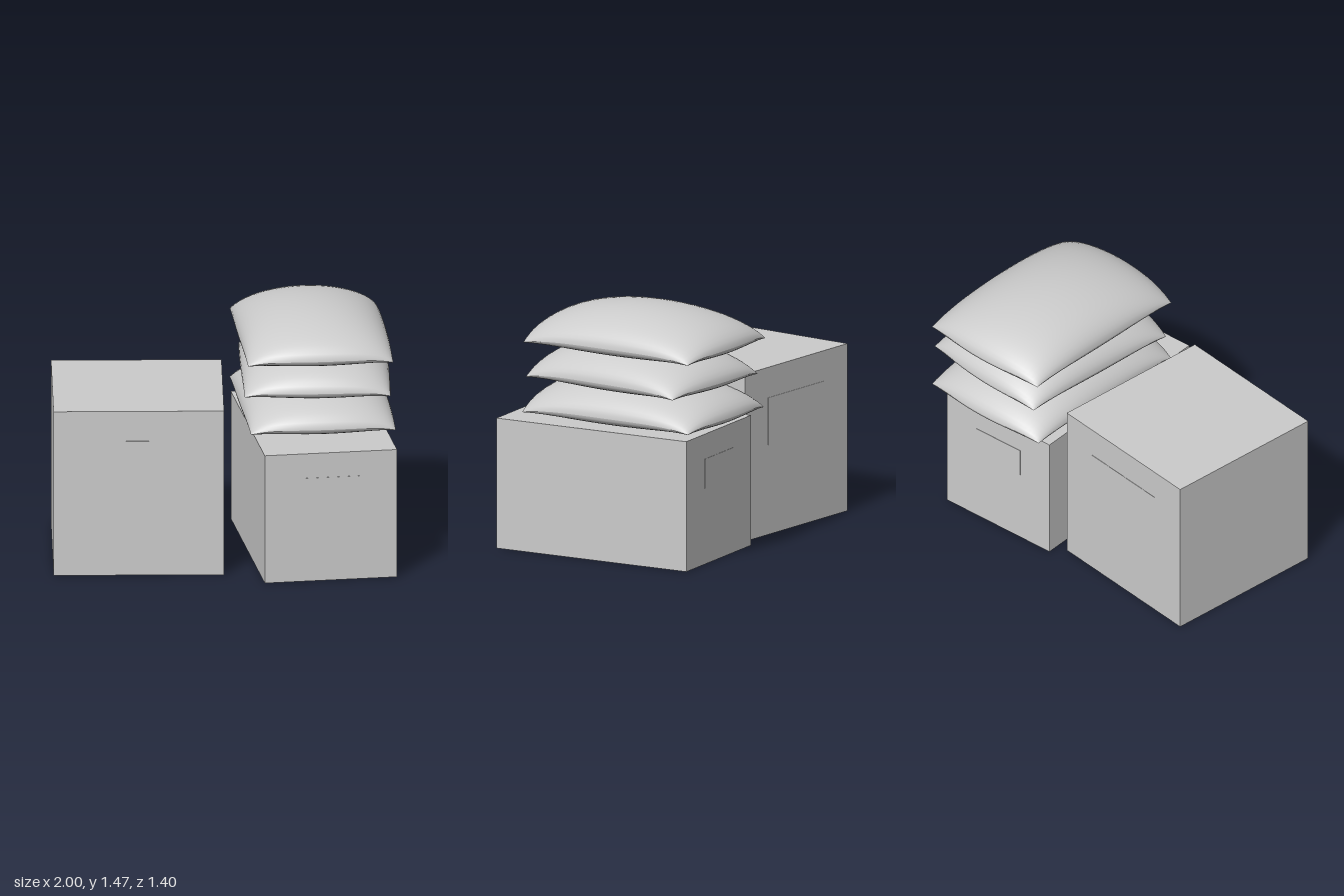
import * as THREE from 'three';
import { mergeGeometries } from 'three/addons/utils/BufferGeometryUtils.js';

const material = new THREE.MeshStandardMaterial({ color: 0xcccccc, side: THREE.DoubleSide });

// One half of a cushion: a sheet puffed up (or down) from its seam
function cushionHalf(height, power, up) {
  const geometry = new THREE.PlaneGeometry(2, 2, 28, 28);
  geometry.rotateX(up ? -Math.PI / 2 : Math.PI / 2);
  const p = geometry.attributes.position;
  for (let i = 0; i < p.count; i++) {
    // crowd the rows toward the seam, where the sheet curves most
    const u = Math.sin(p.getX(i) * Math.PI / 2);
    const v = Math.sin(p.getZ(i) * Math.PI / 2);
    const puff = Math.pow(Math.max(0, (1 - u * u) * (1 - v * v)), power);
    const cornerDrop = 0.03 * Math.pow(u * v, 4);
    p.setXYZ(i,
      u * (0.42 + 0.008 * (1 - v * v)),
      height * puff - cornerDrop,
      v * (0.56 + 0.05 * (1 - u * u)));
  }
  geometry.computeVertexNormals();
  return geometry;
}

function createBox(name, width, height, depth, label) {
  const group = new THREE.Group();
  group.name = name;
  const body = new THREE.Mesh(new THREE.BoxGeometry(width, height, depth), material);
  body.name = name + 'Body';
  body.position.y = height / 2;
  group.add(body);
  // Thin plain panels on the front and back faces
  for (const side of [1, -1]) {
    const panel = new THREE.Mesh(new THREE.BoxGeometry(label.width, label.height, 0.004), material);
    panel.name = name + (side > 0 ? 'FrontPanel' : 'BackPanel');
    panel.position.set(0, label.y, side * depth / 2);
    group.add(panel);
  }
  return group;
}

export function createModel() {
  const model = new THREE.Group();
  model.name = 'boxesAndCushions';

  // Storage boxes, turned slightly toward each other
  const large = createBox('largeBox', 0.983, 0.99, 0.988, { width: 0.54, height: 0.28, y: 0.67 });
  large.position.set(-0.475, 0, -0.007);
  large.rotation.y = -0.071;
  const small = createBox('smallBox', 0.772, 0.77, 1.25, { width: 0.335, height: 0.175, y: 0.535 });
  small.position.set(0.541, 0, 0.05);
  small.rotation.y = 0.071;
  model.add(large, small);

  // Stack of cushions, each sunk a little into the one above
  const cushion = mergeGeometries([cushionHalf(0.2, 0.52, true), cushionHalf(-0.085, 0.42, false)]);
  const stack = [
    { name: 'bottomCushion', x: 0.545, y: 0.86, z: -0.085, turn: 0.025, length: 1.0 },
    { name: 'middleCushion', x: 0.555, y: 1.065, z: -0.083, turn: -0.05, length: 0.93 },
    { name: 'topCushion', x: 0.538, y: 1.27, z: -0.09, turn: 0.01, length: 1.0 },
  ];
  for (const { name, x, y, z, turn, length } of stack) {
    const mesh = new THREE.Mesh(cushion, material);
    mesh.name = name;
    mesh.position.set(x, y, z);
    mesh.rotation.y = turn;
    mesh.scale.z = length;
    model.add(mesh);
  }
  return model;
}
